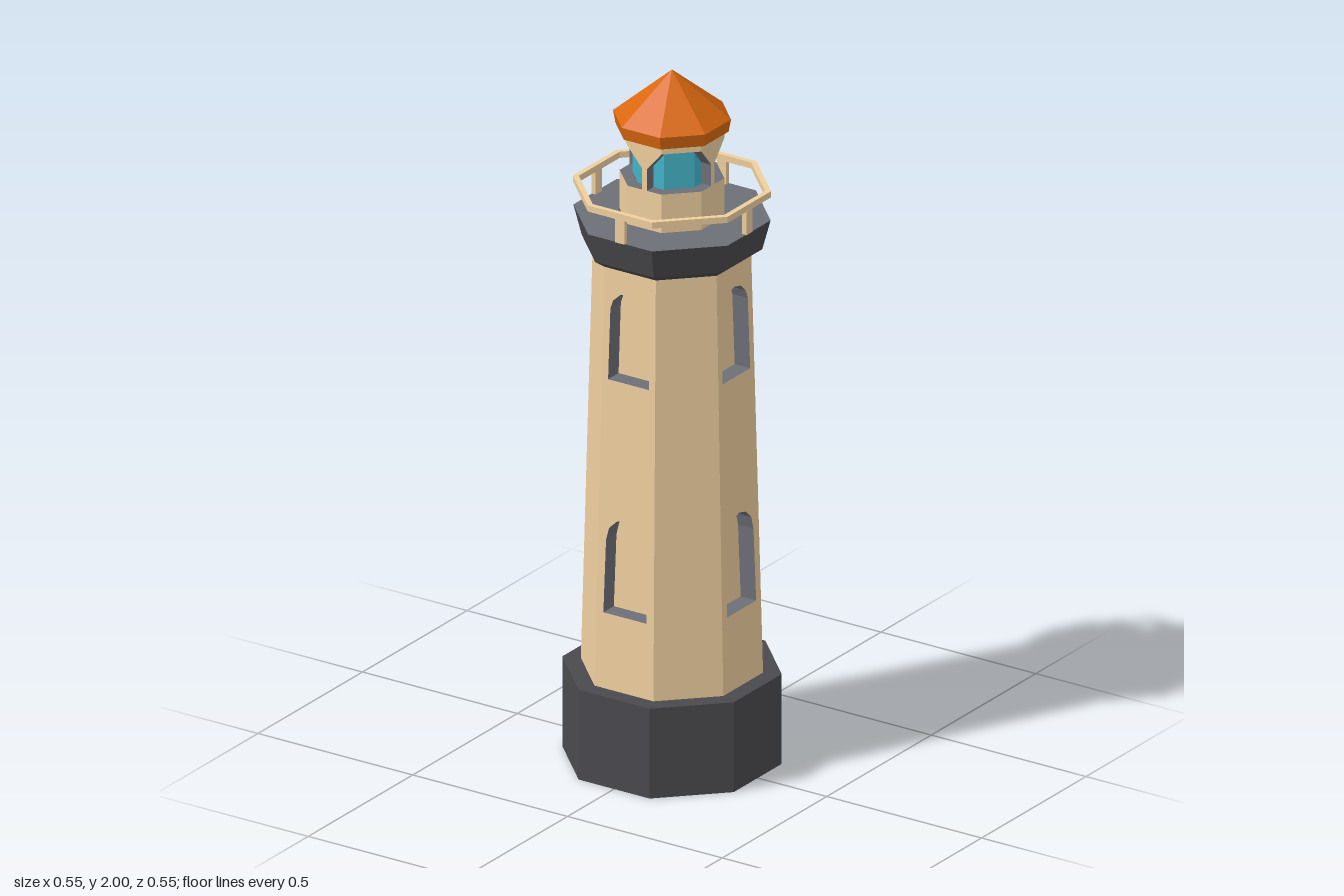
import * as THREE from 'three';

const SIDES = 8;
const TAN = Math.tan(Math.PI / SIDES);
const mat = (color) => new THREE.MeshStandardMaterial({ color, flatShading: true, side: THREE.DoubleSide });

// Apothem of the tapering tower wall at a given height
const Y0 = 0.262, Y1 = 1.48;
const wallAt = (y) => THREE.MathUtils.lerp(0.23, 0.2, (y - Y0) / (Y1 - Y0));

// Right half of each arched window, from sill to crown
const WINDOWS = [
  [[0.07, 0.48], [0.065, 0.69], [0.056, 0.727], [0.03, 0.752], [0, 0.76]],
  [[0.066, 1.155], [0.062, 1.36], [0.054, 1.385], [0.029, 1.408], [0, 1.415]],
];
const RECESS = 0.05;

const mirrored = (half) => [
  ...half,
  ...half.filter(([x]) => x > 0).reverse().map(([x, y]) => [-x, y]),
].map(([x, y]) => new THREE.Vector2(x, y));

// Octagonal surface with flat faces toward the axes, from [apothem, y] pairs
function octagon(profile) {
  const points = profile.map(([a, y]) => new THREE.Vector2(a / Math.cos(Math.PI / SIDES), y));
  return new THREE.LatheGeometry(points, SIDES, Math.PI / SIDES);
}

// Flat shape laid onto the sloping wall, set back by inset
function onWall(shape, inset = 0) {
  const geo = new THREE.ShapeGeometry(shape);
  const p = geo.attributes.position;
  for (let i = 0; i < p.count; i++) p.setZ(i, wallAt(p.getY(i)) - inset);
  geo.computeVertexNormals();
  return geo;
}

// Walls running from the window outline to the back of the recess
function reveal(outline) {
  const pos = [];
  outline.forEach((a, i) => {
    const b = outline[(i + 1) % outline.length];
    const za = wallAt(a.y), zb = wallAt(b.y);
    const A = [a.x, a.y, za], B = [b.x, b.y, zb];
    const C = [b.x, b.y, zb - RECESS], D = [a.x, a.y, za - RECESS];
    pos.push(...A, ...B, ...C, ...A, ...C, ...D);
  });
  const geo = new THREE.BufferGeometry();
  geo.setAttribute('position', new THREE.Float32BufferAttribute(pos, 3));
  geo.computeVertexNormals();
  return geo;
}

export function createModel() {
  const model = new THREE.Group();
  model.name = 'lighthouse';
  const stone = mat(0xefcf9f);
  const dark = mat(0x4a4a4e);
  const grey = mat(0x6d6f78);
  const glass = mat(0x43b4c8);
  const orange = mat(0xd9680f);

  const add = (name, geometry, material, parent = model) => {
    const mesh = new THREE.Mesh(geometry, material);
    mesh.name = name;
    parent.add(mesh);
    return mesh;
  };

  // Plinth, open underneath
  add('base', octagon([[0.277, 0], [0.277, Y0], [0.23, Y0]]), dark);

  // Tower: eight sloping walls, every second one with two windows
  for (let i = 0; i < SIDES; i++) {
    const side = new THREE.Group();
    side.name = 'towerSide';
    side.rotation.y = (i * Math.PI * 2) / SIDES;
    model.add(side);

    const b = wallAt(Y0) * TAN, t = wallAt(Y1) * TAN;
    const wall = new THREE.Shape([[-b, Y0], [b, Y0], [t, Y1], [-t, Y1]].map((p) => new THREE.Vector2(...p)));
    if (i % 2 === 0) {
      for (const half of WINDOWS) {
        const outline = mirrored(half);
        wall.holes.push(new THREE.Path(outline));
        add('windowReveal', reveal(outline), grey, side);
        add('windowPanel', onWall(new THREE.Shape(outline), RECESS), stone, side);
      }
    }
    add('wall', onWall(wall), stone, side);
  }

  // Gallery
  add('galleryRim', octagon([[0.2, 1.476], [0.228, 1.497], [0.249, 1.583]]), dark);
  add('galleryDeck', octagon([[0.249, 1.583], [0.12, 1.583]]), grey);
  add('rail', octagon([[0.235, 1.65], [0.25, 1.65], [0.25, 1.668], [0.235, 1.668], [0.235, 1.65]]), stone);

  // Lantern room
  const R = 0.132, G = 0.1, SILL = 1.695, HEAD = 1.812;
  add('lanternWall', octagon([[R, 1.583], [R, SILL]]), stone);
  add('lanternSill', octagon([[R, SILL], [G, SILL]]), grey);
  add('lanternGlass', octagon([[G, SILL], [G, HEAD]]), glass);
  add('lanternCeiling', octagon([[G, HEAD], [R, HEAD]]), grey);
  add('lanternCollar', octagon([[R, HEAD], [R, 1.84]]), stone);

  // Lantern posts flare out at the head; rail posts stand in line with them
  const post = new THREE.Shape(mirrored([[0.008, SILL], [0.008, 1.757], [R * TAN, HEAD]]));
  const postGeo = new THREE.ExtrudeGeometry(post, { depth: R - G, bevelEnabled: false });
  postGeo.translate(0, 0, G);
  const railPostGeo = new THREE.BoxGeometry(0.03, 0.07, 0.014);
  railPostGeo.translate(0, 1.617, 0.2435);
  for (let i = 0; i < 4; i++) {
    const angle = (i * Math.PI) / 2;
    add('lanternPost', postGeo, [stone, grey]).rotation.y = angle;
    add('railPost', railPostGeo, stone).rotation.y = angle;
  }

  // Roof with eave band and soffit
  add('roof', octagon([[0.12, 1.832], [0.143, 1.832], [0.149, 1.868], [0, 2]]), orange);

  return model;
}
